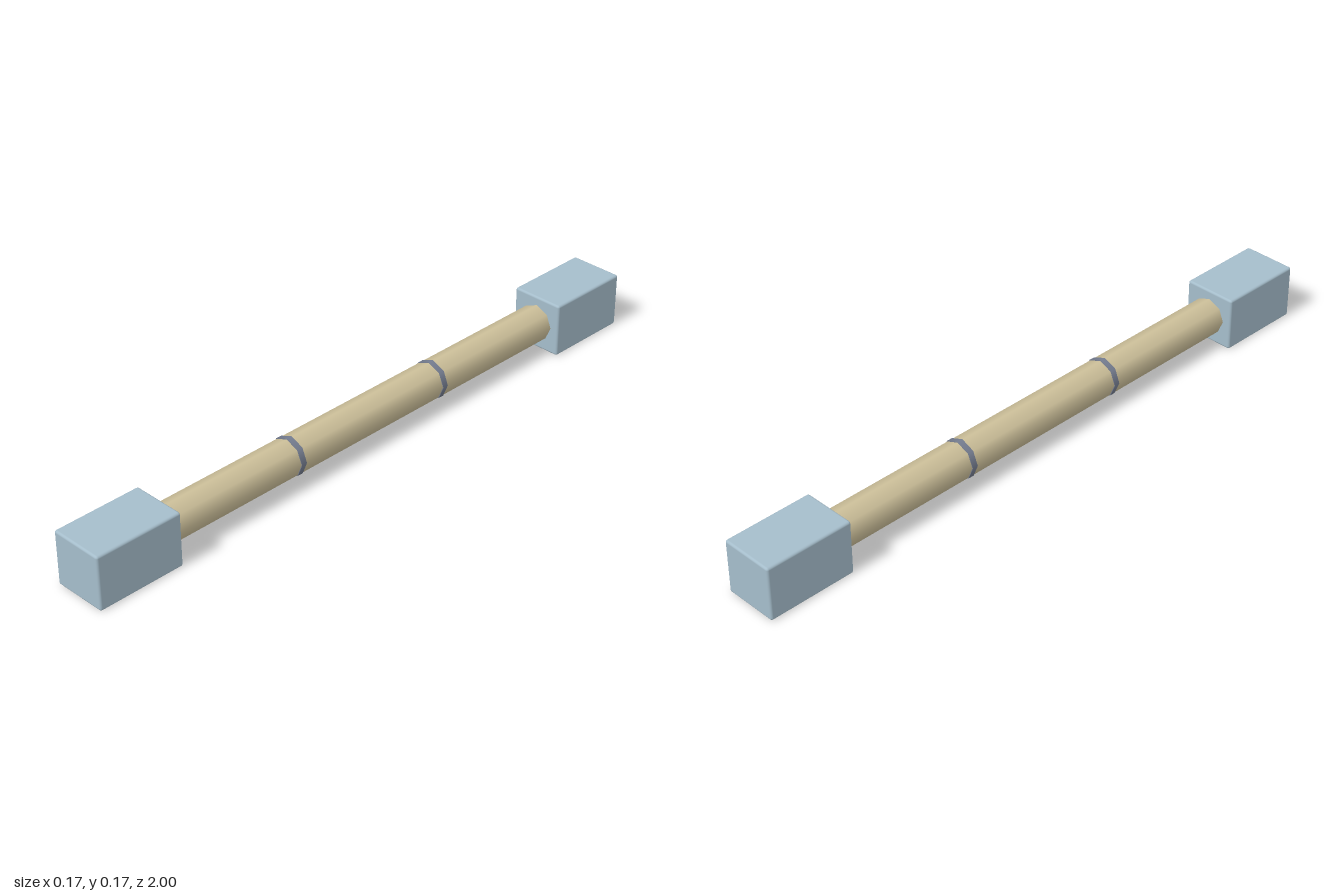
import * as THREE from 'three';
import { RoundedBoxGeometry } from 'three/addons/geometries/RoundedBoxGeometry.js';

const SIDES = 8;
const AXIS_Y = 0.083;

export function createModel() {
  const model = new THREE.Group();
  model.name = 'cappedPole';

  const blockBlue = new THREE.MeshStandardMaterial({ color: 0xa5bdcb });
  blockBlue.name = 'paleBlue';
  const poleTan = new THREE.MeshStandardMaterial({ color: 0xcdc09a });
  poleTan.name = 'tan';
  const ringGrey = new THREE.MeshStandardMaterial({ color: 0x757d90 });
  ringGrey.name = 'slateGrey';

  function add(name, geometry, material, z) {
    const mesh = new THREE.Mesh(geometry, material);
    mesh.name = name;
    mesh.position.set(0, AXIS_Y, z);
    model.add(mesh);
  }

  // Eight-sided rod lying along z
  const rod = (radius, length) =>
    new THREE.CylinderGeometry(radius, radius, length, SIDES).rotateX(Math.PI / 2);

  add('pole', rod(0.056, 1.48), poleTan, 0);

  // Matching bands and end blocks at the front and back
  for (const [end, s] of [['front', 1], ['back', -1]]) {
    add(end + 'Band', rod(0.058, 0.018), ringGrey, s * 0.275);
    add(end + 'Block', new RoundedBoxGeometry(0.166, 0.166, 0.272, 2, 0.007), blockBlue, s * 0.864);
  }

  return model;
}
